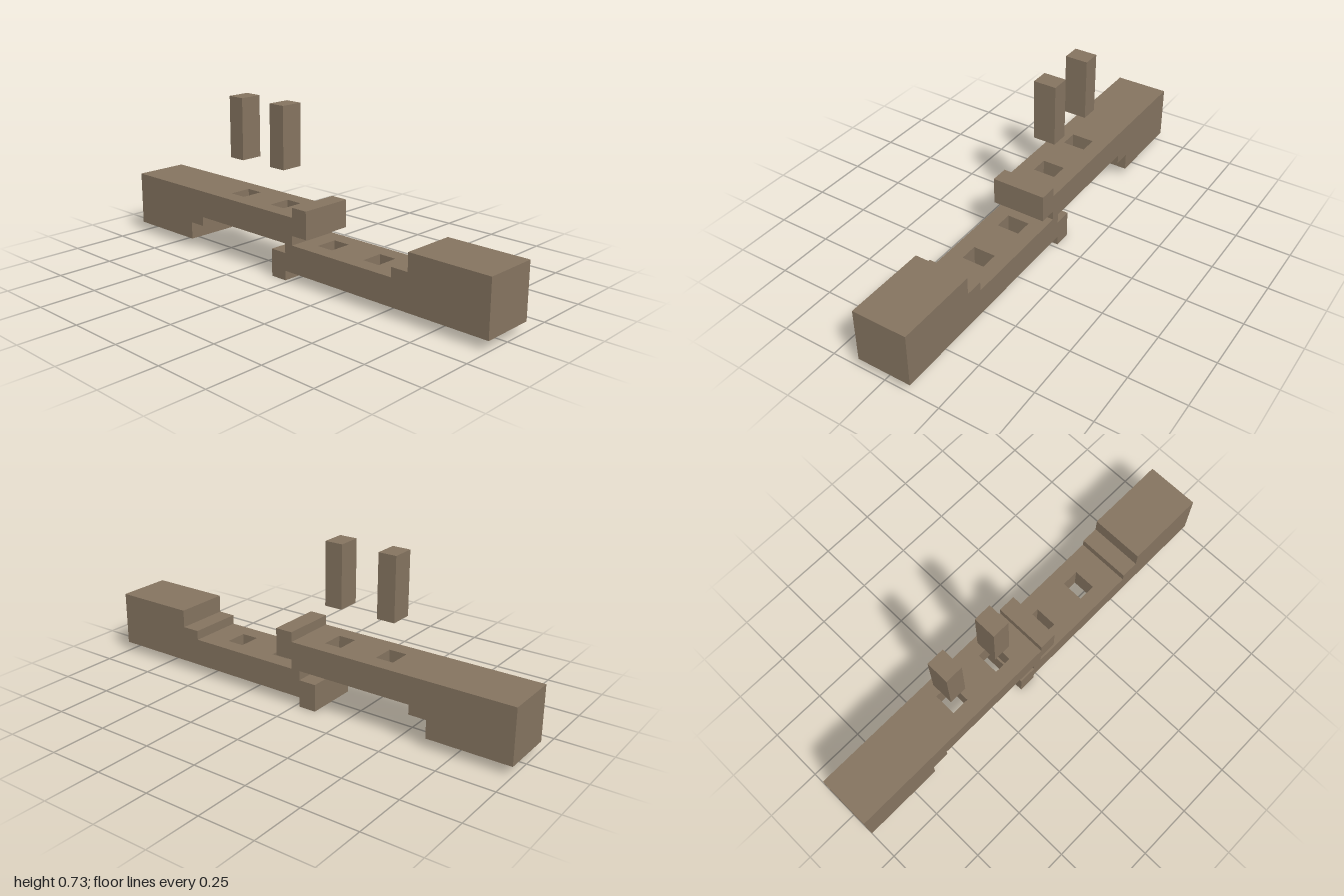
import * as THREE from 'three';

const HALF_W = 0.122;   // half the beam width
const HALF_H = 0.121;   // half the beam height
const STEP = 0.042;     // joint step height
const MID = 0.164;      // height of the joint plane
const PEG_X = 0.051;    // half peg width
const HOLES = [[0.1, 0.18], [0.35, 0.43]]; // z ranges of the peg holes

const wood = new THREE.MeshStandardMaterial({ color: 0x857460 });
wood.name = 'brown wood';

function part(name, geometry, x = 0, y = 0, z = 0) {
  const mesh = new THREE.Mesh(geometry, wood);
  mesh.name = name;
  mesh.position.set(x, y, z);
  return mesh;
}

function rectangle(Type, x, z0, z1) {
  return new Type([[-x, z0], [x, z0], [x, z1], [-x, z1]].map(p => new THREE.Vector2(...p)));
}

// One half of the scarf joint, with y = 0 on the joint plane
function createBeam(name) {
  const beam = new THREE.Group();
  beam.name = name;

  // Thin tongue pierced by two peg holes
  const outline = rectangle(THREE.Shape, HALF_W, -0.02, 0.55);
  for (const [z0, z1] of HOLES) outline.holes.push(rectangle(THREE.Path, PEG_X, z0, z1));
  const tongue = new THREE.ExtrudeGeometry(outline, { depth: HALF_H, bevelEnabled: false });
  tongue.rotateX(Math.PI / 2);
  beam.add(part('tongue', tongue));

  // Full-height end with a stepped shoulder
  const profile = new THREE.Shape([
    [0.55, -HALF_H], [1, -HALF_H], [1, HALF_H], [0.63, HALF_H], [0.63, STEP], [0.55, STEP],
  ].map(p => new THREE.Vector2(...p)));
  const end = new THREE.ExtrudeGeometry(profile, { depth: 2 * HALF_W, bevelEnabled: false });
  end.translate(0, 0, -HALF_W).rotateY(-Math.PI / 2);
  beam.add(part('steppedEnd', end));

  // Offset lip on the tip of the tongue
  const lip = new THREE.BoxGeometry(2 * HALF_W, MID - STEP, 0.08);
  beam.add(part('lip', lip, 0, -(MID + STEP) / 2, -0.06));

  beam.position.y = MID;
  return beam;
}

export function createModel() {
  const model = new THREE.Group();
  model.name = 'scarfJoint';

  // The back beam is the front beam turned half round the cross axis
  const front = createBeam('frontBeam');
  const back = createBeam('backBeam');
  back.rotation.x = Math.PI;
  model.add(front, back);

  // Loose pegs hovering above the holes of the back beam
  HOLES.forEach(([z0, z1], i) => {
    const peg = new THREE.BoxGeometry(2 * PEG_X, 0.274, z1 - z0);
    model.add(part(`peg${i + 1}`, peg, 0, 0.588, -(z0 + z1) / 2));
  });
  return model;
}
